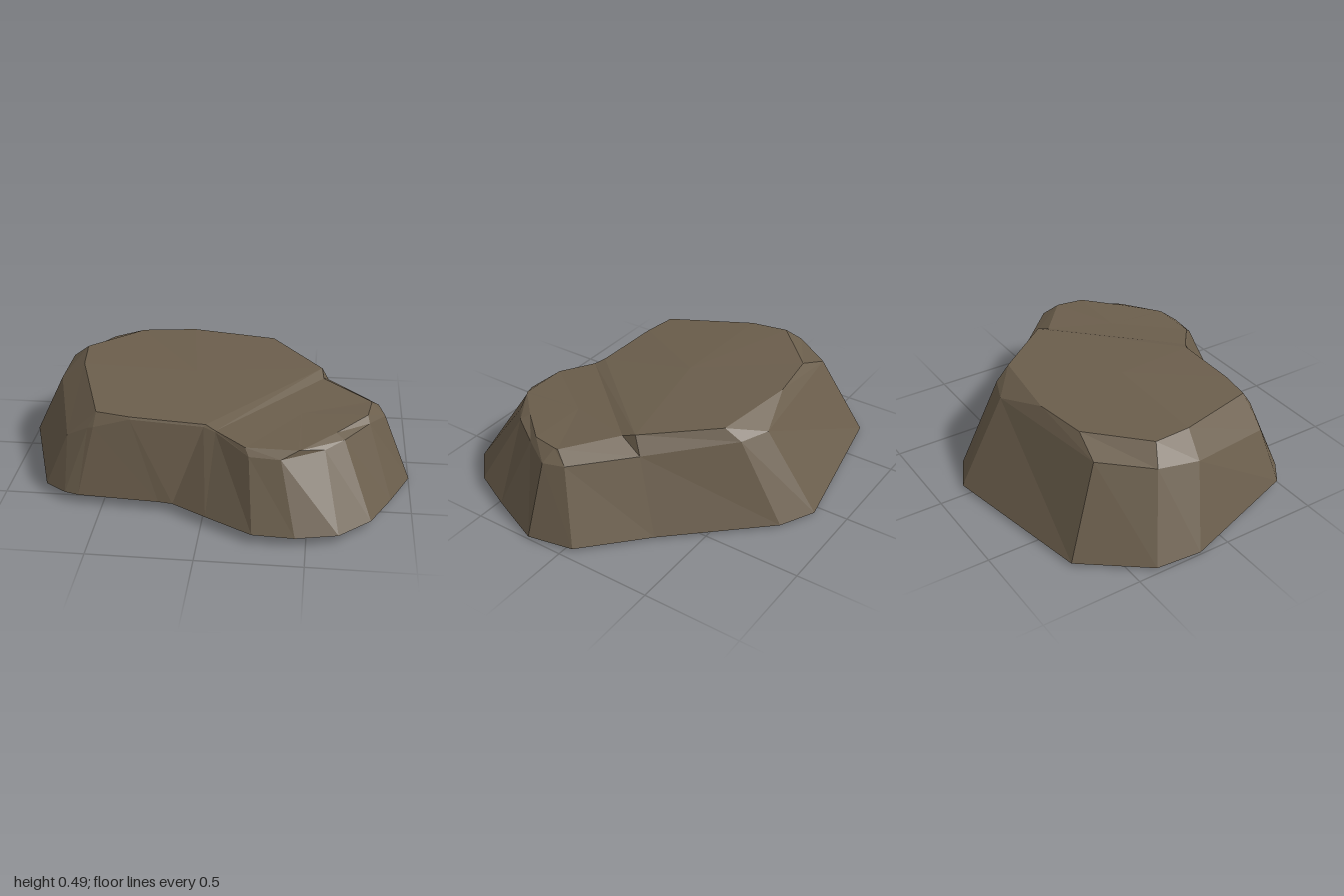
import * as THREE from 'three';

// Three matching rings of 20 corners, clockwise seen from above:
// corners 0-8 border the low ledge, 9-19 border the high plateau.
const FOOT = [ // x, z
  [0.66, -0.31], [0.95, -0.04], [1, 0.19], [0.9, 0.45], [0.8, 0.66],
  [0.65, 0.8], [0.45, 0.845], [0.25, 0.835], [0.02, 0.705], [-0.15, 0.605],
  [-0.22, 0.595], [-0.62, 0.57], [-0.69, 0.55], [-0.8, 0.47], [-1, -0.16],
  [-0.98, -0.39], [-0.74, -0.7], [0.06, -0.85], [0.24, -0.76], [0.66, -0.31],
];
const SHOULDER = [ // x, y, z
  [0.575, 0.38, -0.17], [0.83, 0.37, 0.08], [0.86, 0.365, 0.19], [0.78, 0.39, 0.33], [0.66, 0.385, 0.5],
  [0.57, 0.37, 0.58], [0.37, 0.36, 0.68], [0.22, 0.36, 0.665], [0.05, 0.4, 0.515], [-0.01, 0.41, 0.487],
  [-0.37, 0.42, 0.468], [-0.55, 0.37, 0.47], [-0.58, 0.36, 0.46], [-0.69, 0.3, 0.43], [-0.82, 0.38, -0.05],
  [-0.8, 0.41, -0.27], [-0.62, 0.43, -0.5], [0.1, 0.42, -0.59], [0.25, 0.42, -0.53], [0.575, 0.38, -0.17],
];
const RIM = [ // x, y, z
  [0.55, 0.44, -0.05], [0.79, 0.42, 0.15], [0.79, 0.42, 0.17], [0.77, 0.42, 0.3], [0.62, 0.405, 0.47],
  [0.46, 0.39, 0.63], [0.45, 0.39, 0.635], [0.2, 0.39, 0.63], [0.05, 0.405, 0.51], [0, 0.42, 0.48],
  [-0.37, 0.43, 0.46], [-0.54, 0.435, 0.43], [-0.54, 0.435, 0.43], [-0.54, 0.435, 0.43], [-0.69, 0.48, -0.02],
  [-0.71, 0.49, -0.22], [-0.45, 0.49, -0.47], [-0.17, 0.49, -0.51], [0.27, 0.48, -0.45], [0.54, 0.465, -0.12],
];

// Faceted mesh from a list of triangles
function facets(name, triangles, material) {
  const geometry = new THREE.BufferGeometry();
  geometry.setAttribute('position', new THREE.Float32BufferAttribute(triangles.flat(2), 3));
  geometry.computeVertexNormals();
  const mesh = new THREE.Mesh(geometry, material);
  mesh.name = name;
  return mesh;
}

// Closed band between two rings
function band(low, high) {
  return low.flatMap((a, i) => {
    const j = (i + 1) % low.length;
    return [[a, high[i], high[j]], [a, high[j], low[j]]];
  });
}

// Fan closing a ring, facing up or down
function cap(ring, centre, up) {
  return ring.map((p, i) => {
    const q = ring[(i + 1) % ring.length];
    return up ? [centre, q, p] : [centre, p, q];
  });
}

export function createModel() {
  const stone = new THREE.MeshStandardMaterial({ color: 0x6b5e4c });
  stone.name = 'brown stone';
  stone.flatShading = true;

  // The foot lifts slightly toward the front
  const foot = FOOT.map(([x, z]) => [x, Math.min(0.045, 0.012 + 0.09 * Math.max(0, z - 0.15)), z]);

  const rock = new THREE.Group();
  rock.name = 'rock';
  rock.add(
    facets('sides', band(foot, SHOULDER), stone),
    facets('bevel', band(SHOULDER, RIM), stone),
    facets('plateau', cap(RIM.slice(9), [-0.1, 0.475, 0], true), stone),
    facets('ledge', cap(RIM.slice(0, 9), [0.45, 0.412, 0.3], true), stone),
    facets('step', [[RIM[19], RIM[9], RIM[8]], [RIM[19], RIM[8], RIM[0]]], stone),
    facets('underside', cap(foot, [0.4, 0, 0.05], false), stone),
  );
  return rock;
}
